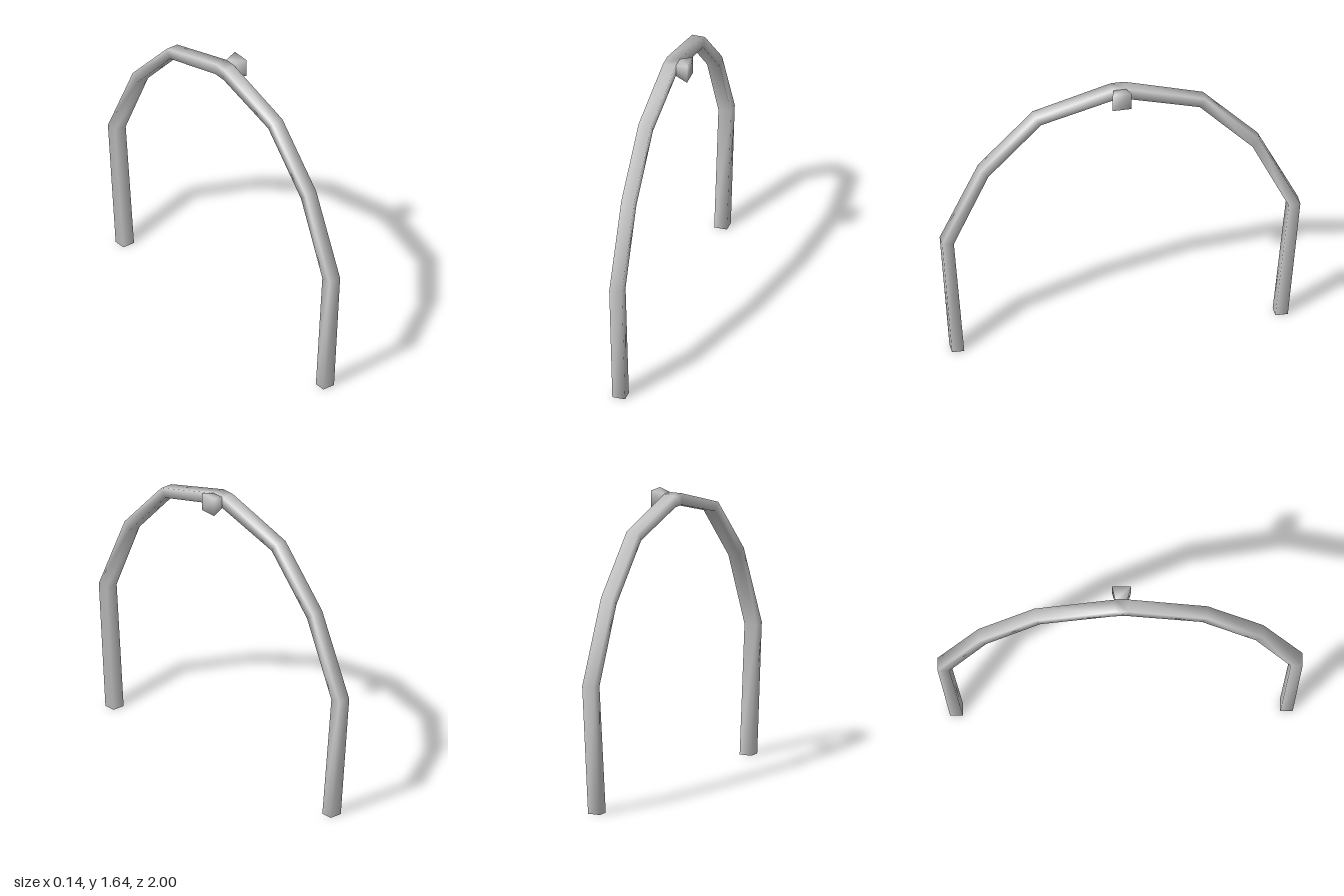
import * as THREE from 'three';

// Skin four-cornered rings (counter-clockwise seen from the far end) into a closed, smooth bar
function loft(name, rings) {
  const index = [];
  const quad = (a, b, c, d) => index.push(a, b, c, a, c, d);
  for (let r = 0; r < rings.length - 1; r++) {
    for (let i = 0; i < 4; i++) {
      const j = (i + 1) % 4, a = r * 4, b = a + 4;
      quad(a + i, a + j, b + j, b + i);
    }
  }
  const last = (rings.length - 1) * 4;
  quad(3, 2, 1, 0);
  quad(last, last + 1, last + 2, last + 3);
  const geometry = new THREE.BufferGeometry();
  geometry.setAttribute('position', new THREE.Float32BufferAttribute(rings.flat(2), 3));
  geometry.setIndex(index);
  geometry.computeVertexNormals();
  const mesh = new THREE.Mesh(geometry, new THREE.MeshStandardMaterial({ color: 0xcccccc }));
  mesh.name = name;
  return mesh;
}

export function createModel() {
  const group = new THREE.Group();
  group.name = 'archHandle';

  // Arch joints from one foot to the other: outer z, outer y, inner z, inner y
  const joints = [
    [0.945, 0, 0.877, 0],
    [1, 0.725, 0.935, 0.72],
    [0.785, 1.18, 0.743, 1.14],
    [0.48, 1.493, 0.448, 1.445],
    [0.045, 1.62, 0.045, 1.555],
    [-0.03, 1.62, -0.03, 1.555],
    [-0.47, 1.493, -0.438, 1.445],
    [-0.775, 1.18, -0.733, 1.14],
    [-1, 0.725, -0.935, 0.72],
    [-0.93, 0, -0.86, 0],
  ];
  group.add(loft('arch', joints.map(([oz, oy, iz, iy]) => [
    [-0.073, oy, oz], [0, oy, oz], [0, iy, iz], [-0.073, iy, iz],
  ])));

  // Flared square knob on the side of the crown
  const square = (x, y, z, h) => [
    [x, y - h, z + h], [x, y - h, z - h], [x, y + h, z - h], [x, y + h, z + h],
  ];
  group.add(loft('knob', [
    square(0, 1.587, 0.008, 0.034),
    square(0.07, 1.586, 0.01, 0.052),
  ]));
  return group;
}
